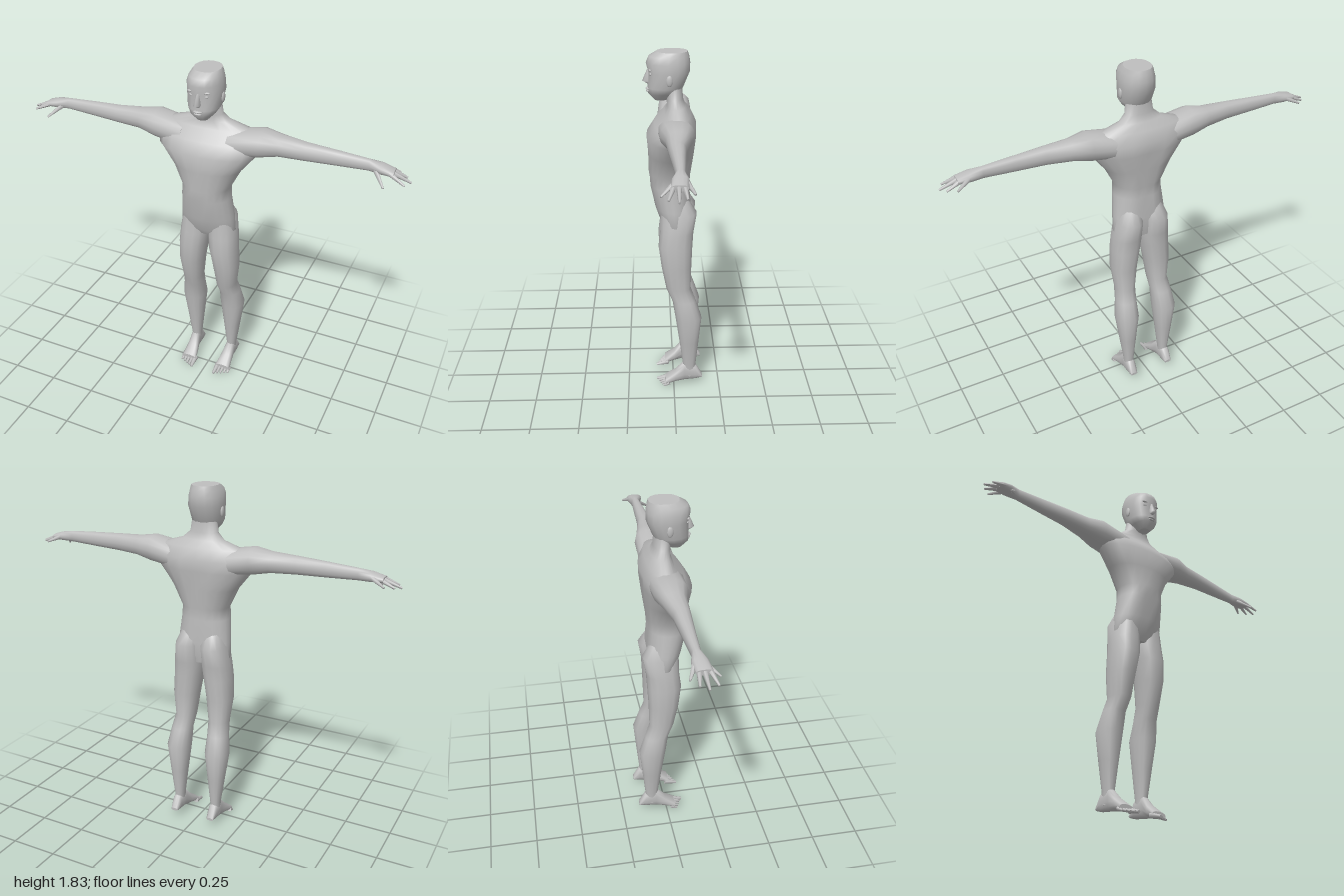
import * as THREE from 'three';

const skin = new THREE.MeshStandardMaterial({ color: 0xbebebe });
skin.name = 'plain grey';

// Lofts oval rings [t, a0, a1, b0, b1] along an axis; a and b are the spans across it.
const place = {
  y: (t, a, b) => [a, t, b],
  x: (t, a, b) => [t, b, a],
  z: (t, a, b) => [b, a, t],
};
function loft(axis, rings, { sides = 14, power = 0.85, shape } = {}) {
  const pos = [], idx = [];
  const soft = (v) => Math.sign(v) * Math.abs(v) ** power;
  const addRing = ([t, a0, a1, b0, b1]) => {
    for (let j = 0; j < sides; j++) {
      const w = (j / sides) * Math.PI * 2;
      const a = (a0 + a1) / 2 + ((a1 - a0) / 2) * soft(Math.cos(w));
      const b = (b0 + b1) / 2 + ((b1 - b0) / 2) * soft(Math.sin(w));
      const p = place[axis](t, a, b);
      if (shape) shape(p);
      pos.push(...p);
    }
  };
  rings.forEach(addRing);
  for (let i = 0; i < rings.length - 1; i++) {
    for (let j = 0; j < sides; j++) {
      const k = (j + 1) % sides, lo = i * sides, hi = lo + sides;
      idx.push(lo + j, hi + j, lo + k, lo + k, hi + j, hi + k);
    }
  }
  // End caps have their own corners so that the rims stay sharp
  for (const [r, top] of [[rings[0], false], [rings[rings.length - 1], true]]) {
    const s = pos.length / 3;
    addRing(r);
    pos.push(...place[axis](r[0], (r[1] + r[2]) / 2, (r[3] + r[4]) / 2));
    for (let j = 0; j < sides; j++) {
      const k = (j + 1) % sides;
      if (top) idx.push(s + sides, s + k, s + j);
      else idx.push(s + sides, s + j, s + k);
    }
  }
  const g = new THREE.BufferGeometry();
  g.setAttribute('position', new THREE.Float32BufferAttribute(pos, 3));
  g.setIndex(idx);
  g.computeVertexNormals();
  return g;
}

// Tapered digit between two points
function digit(from, to, r0, r1) {
  const a = new THREE.Vector3(...from), b = new THREE.Vector3(...to);
  const d = b.clone().sub(a);
  const g = new THREE.CylinderGeometry(r1, r0, d.length(), 6);
  g.applyQuaternion(new THREE.Quaternion().setFromUnitVectors(new THREE.Vector3(0, 1, 0), d.normalize()));
  const m = a.add(b).multiplyScalar(0.5);
  return g.translate(m.x, m.y, m.z);
}

function ball(x, y, z, sx, sy, sz) {
  return new THREE.SphereGeometry(1, 10, 8).scale(sx, sy, sz).translate(x, y, z);
}

// Mirror across x = 0, keeping the faces outward
function mirrored(geometry) {
  const g = geometry.clone().scale(-1, 1, 1);
  const i = g.index.array;
  for (let n = 0; n < i.length; n += 3) [i[n], i[n + 1]] = [i[n + 1], i[n]];
  g.computeVertexNormals();
  return g;
}

export function createModel() {
  const model = new THREE.Group();
  model.name = 'figure';
  const add = (name, geometry) => {
    const m = new THREE.Mesh(geometry, skin);
    m.name = name;
    model.add(m);
  };
  const pair = (name, geometry) => {
    add('left ' + name, geometry);
    add('right ' + name, mirrored(geometry));
  };

  // Torso and neck: y, half width, back, front
  const torso = [
    [0.925, 0.12, -0.07, 0.045], [0.96, 0.15, -0.085, 0.066], [1.04, 0.142, -0.095, 0.095],
    [1.16, 0.13, -0.085, 0.122], [1.22, 0.126, -0.09, 0.125], [1.325, 0.18, -0.105, 0.127],
    [1.42, 0.255, -0.115, 0.135], [1.48, 0.27, -0.115, 0.095], [1.535, 0.23, -0.088, 0.045],
    [1.57, 0.115, -0.062, 0.03], [1.605, 0.075, -0.048, 0.035], [1.67, 0.065, -0.045, 0.04],
  ];
  add('torso', loft('y', torso.map(([y, w, b, f]) => [y, -w, w, b, f]), {
    sides: 20,
    power: 0.95,
    // Shallow navel and spine grooves
    shape: (p) => {
      if (Math.abs(p[0]) > 0.005) return;
      if (p[2] > 0 && p[1] === 1.16) p[2] -= 0.012;
      if (p[2] < 0 && p[1] > 0.95 && p[1] < 1.45) p[2] += 0.012;
    },
  }));

  // Head with a flat crown
  const head = [
    [1.597, 0.028, 0.03, 0.092], [1.63, 0.06, -0.025, 0.124], [1.66, 0.079, -0.05, 0.125],
    [1.735, 0.088, -0.081, 0.122], [1.78, 0.086, -0.083, 0.133], [1.812, 0.077, -0.078, 0.12],
    [1.835, 0.066, -0.07, 0.08],
  ];
  add('head', loft('y', head.map(([y, w, b, f]) => [y, -w, w, b, f]), { sides: 16, power: 0.9 }));

  // Face
  add('nose', loft('y', [
    [1.678, -0.012, 0.012, 0.1, 0.13], [1.69, -0.017, 0.017, 0.1, 0.152],
    [1.745, -0.007, 0.007, 0.1, 0.128],
  ], { sides: 8 }));
  add('upper lip', ball(0, 1.653, 0.122, 0.024, 0.006, 0.014));
  add('lower lip', ball(0, 1.641, 0.121, 0.02, 0.006, 0.012));
  pair('eye', ball(0.036, 1.73, 0.109, 0.014, 0.007, 0.008));
  pair('brow', ball(0.037, 1.75, 0.112, 0.022, 0.006, 0.009));
  pair('ear', ball(0.085, 1.705, 0.02, 0.008, 0.028, 0.016));

  // Arm from shoulder to palm: x, back, front, bottom, top
  pair('arm', loft('x', [
    [0.12, -0.095, 0.08, 1.4, 1.53], [0.28, -0.095, 0.07, 1.425, 1.56],
    [0.37, -0.072, 0.045, 1.444, 1.546], [0.5, -0.046, 0.035, 1.45, 1.538],
    [0.65, -0.038, 0.022, 1.456, 1.53], [0.8, -0.03, 0.012, 1.463, 1.52],
    [0.86, -0.044, 0.032, 1.464, 1.512], [0.92, -0.038, 0.036, 1.467, 1.494],
  ]));

  // Fingers and thumb: base and tip
  const fingers = [
    [[0.87, 1.487, -0.032], [0.935, 1.458, -0.064]], [[0.9, 1.484, -0.02], [0.975, 1.453, -0.032]],
    [[0.9, 1.484, 0.002], [1.0, 1.449, 0.003]], [[0.9, 1.484, 0.022], [0.978, 1.45, 0.046]],
    [[0.835, 1.48, 0.01], [0.89, 1.432, 0.075]],
  ];
  fingers.forEach(([a, b], i) => pair(i === 4 ? 'thumb' : 'finger ' + (i + 1), digit(a, b, 0.013, 0.005)));

  // Leg: y, inner, outer, back, front
  pair('leg', loft('y', [
    [0.06, 0.084, 0.136, -0.12, -0.055], [0.13, 0.084, 0.136, -0.12, -0.05],
    [0.28, 0.068, 0.157, -0.135, -0.03], [0.43, 0.052, 0.177, -0.149, -0.008],
    [0.53, 0.053, 0.162, -0.115, 0.008], [0.6, 0.046, 0.151, -0.09, 0.04],
    [0.73, 0.03, 0.166, -0.093, 0.065], [0.84, 0.012, 0.16, -0.098, 0.08],
    [0.92, 0.003, 0.155, -0.103, 0.07], [1.02, 0.004, 0.14, -0.12, 0.068],
    [1.09, 0.015, 0.115, -0.075, 0.06],
  ]));

  // Foot from heel to ball: z, bottom, top, inner, outer
  pair('foot', loft('z', [
    [-0.156, 0.045, 0.06, 0.09, 0.13], [-0.12, 0.035, 0.125, 0.083, 0.137],
    [-0.06, 0.028, 0.145, 0.083, 0.137], [-0.01, 0.02, 0.088, 0.072, 0.142],
    [0.045, 0.009, 0.045, 0.062, 0.15],
  ]));
  for (let i = 0; i < 5; i++) {
    const x = 0.071 + i * 0.018, r = i ? 0.009 : 0.013;
    pair('toe ' + (i + 1), digit([x, 0.024, 0.025], [x, 0.008, 0.093 - i * 0.009], r + 0.002, r * 0.6));
  }

  return model;
}
